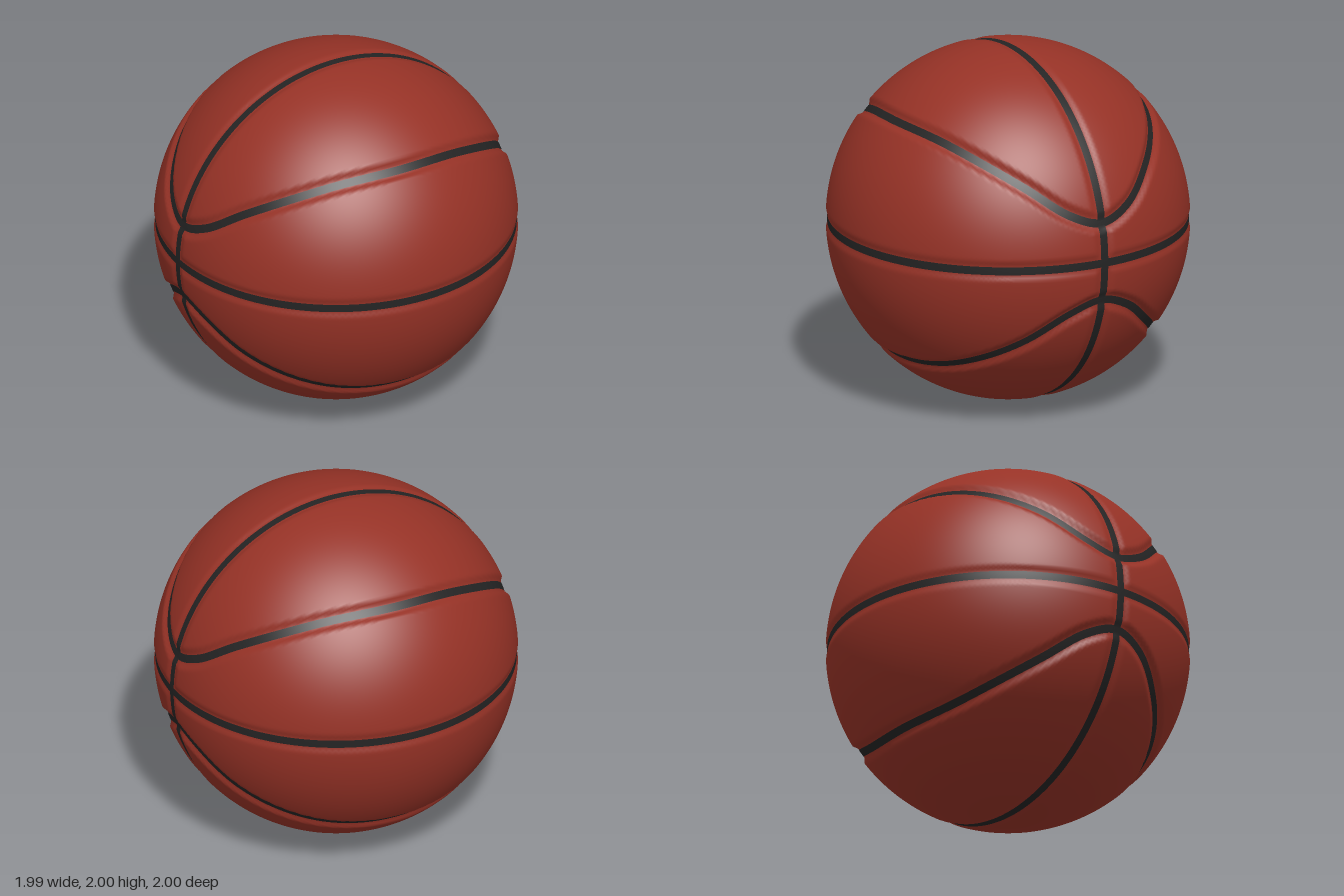
import * as THREE from 'three';
import { mergeVertices } from 'three/addons/utils/BufferGeometryUtils.js';

const HALF_WIDTH = 0.023; // half width of the dark seam strip
const SHOULDER = 0.06;    // where the groove meets the ball again

// Curved seam: one quarter, mirrored into a closed loop around the top
const quarter = [
  [0.975, 0.225, 0], [0.94, 0.29, 0.19], [0.8, 0.45, 0.4],
  [0.61, 0.57, 0.56], [0.4, 0.64, 0.656], [0, 0.68, 0.73],
];
function loopPoints() {
  const half = [...quarter, ...quarter.slice(0, -1).reverse().map(([x, y, z]) => [-x, y, z])];
  const back = half.slice(1, -1).reverse().map(([x, y, z]) => [x, y, -z]);
  return [...half, ...back].map((p) => new THREE.Vector3(...p).normalize());
}
const curve = new THREE.CatmullRomCurve3(loopPoints(), true, 'centripetal');
const loopAt = (u) => curve.getPointAt(u % 1).normalize();
const samples = Array.from({ length: 480 }, (_, i) => loopAt(i / 480))
  .filter((p) => p.x > -0.06 && p.z > -0.06);

// Ball radius in a given direction, dipping into the seams
function radiusAt(d) {
  const a = new THREE.Vector3(Math.abs(d.x), Math.abs(d.y), Math.abs(d.z));
  let nearest = Infinity;
  for (const s of samples) nearest = Math.min(nearest, s.distanceToSquared(a));
  const dip = (dist, depth) =>
    depth * (1 - THREE.MathUtils.smoothstep(dist, HALF_WIDTH + 0.004, SHOULDER));
  return 1 - Math.max(dip(a.y, 0.011), dip(a.z, 0.011), dip(Math.sqrt(nearest), 0.021));
}

function ballGeometry() {
  let geo = new THREE.IcosahedronGeometry(1, 65);
  geo.deleteAttribute('uv');
  geo.deleteAttribute('normal');
  geo = mergeVertices(geo, 1e-4);
  const pos = geo.attributes.position;
  const v = new THREE.Vector3();
  for (let i = 0; i < pos.count; i++) {
    v.fromBufferAttribute(pos, i).normalize();
    v.multiplyScalar(radiusAt(v));
    pos.setXYZ(i, v.x, v.y, v.z);
  }
  geo.computeVertexNormals();
  return geo;
}

// Closed strip following a path of directions along the groove floor
function seamGeometry(pathAt, steps = 360, across = 4) {
  const positions = [];
  const index = [];
  const row = across + 1;
  for (let i = 0; i < steps; i++) {
    const n = pathAt(i / steps);
    const t = pathAt((i + 0.5) / steps).sub(pathAt((i + steps - 0.5) / steps)).normalize();
    const b = n.clone().cross(t).normalize();
    for (let j = 0; j <= across; j++) {
      const p = n.clone().addScaledVector(b, HALF_WIDTH * (2 * j / across - 1)).normalize();
      p.multiplyScalar(radiusAt(p) + 0.003);
      positions.push(p.x, p.y, p.z);
      if (j === across) continue;
      const a = i * row + j;
      const c = ((i + 1) % steps) * row + j;
      index.push(a, c, a + 1, c, c + 1, a + 1);
    }
  }
  const geo = new THREE.BufferGeometry();
  geo.setAttribute('position', new THREE.Float32BufferAttribute(positions, 3));
  geo.setIndex(index);
  geo.computeVertexNormals();
  return geo;
}

export function createModel() {
  const leather = new THREE.MeshStandardMaterial({ color: 0x963226 });
  leather.name = 'red brown leather';
  const rubber = new THREE.MeshStandardMaterial({ color: 0x242424 });
  rubber.name = 'black rubber';

  const model = new THREE.Group();
  model.name = 'basketball';
  const add = (name, geo, mat) => {
    const mesh = new THREE.Mesh(geo, mat);
    mesh.name = name;
    mesh.position.y = 1;
    model.add(mesh);
    return mesh;
  };

  add('ball', ballGeometry(), leather);

  // Straight seams around the middle and over the top
  const circle = (u) => [Math.cos(u * Math.PI * 2), Math.sin(u * Math.PI * 2)];
  add('equatorSeam', seamGeometry((u) => {
    const [c, s] = circle(u);
    return new THREE.Vector3(c, 0, s);
  }), rubber);
  add('meridianSeam', seamGeometry((u) => {
    const [c, s] = circle(u);
    return new THREE.Vector3(c, s, 0);
  }), rubber);

  // Curved seams, the lower one turned over
  const curved = seamGeometry(loopAt);
  add('upperCurvedSeam', curved, rubber);
  add('lowerCurvedSeam', curved, rubber).rotation.x = Math.PI;

  return model;
}
